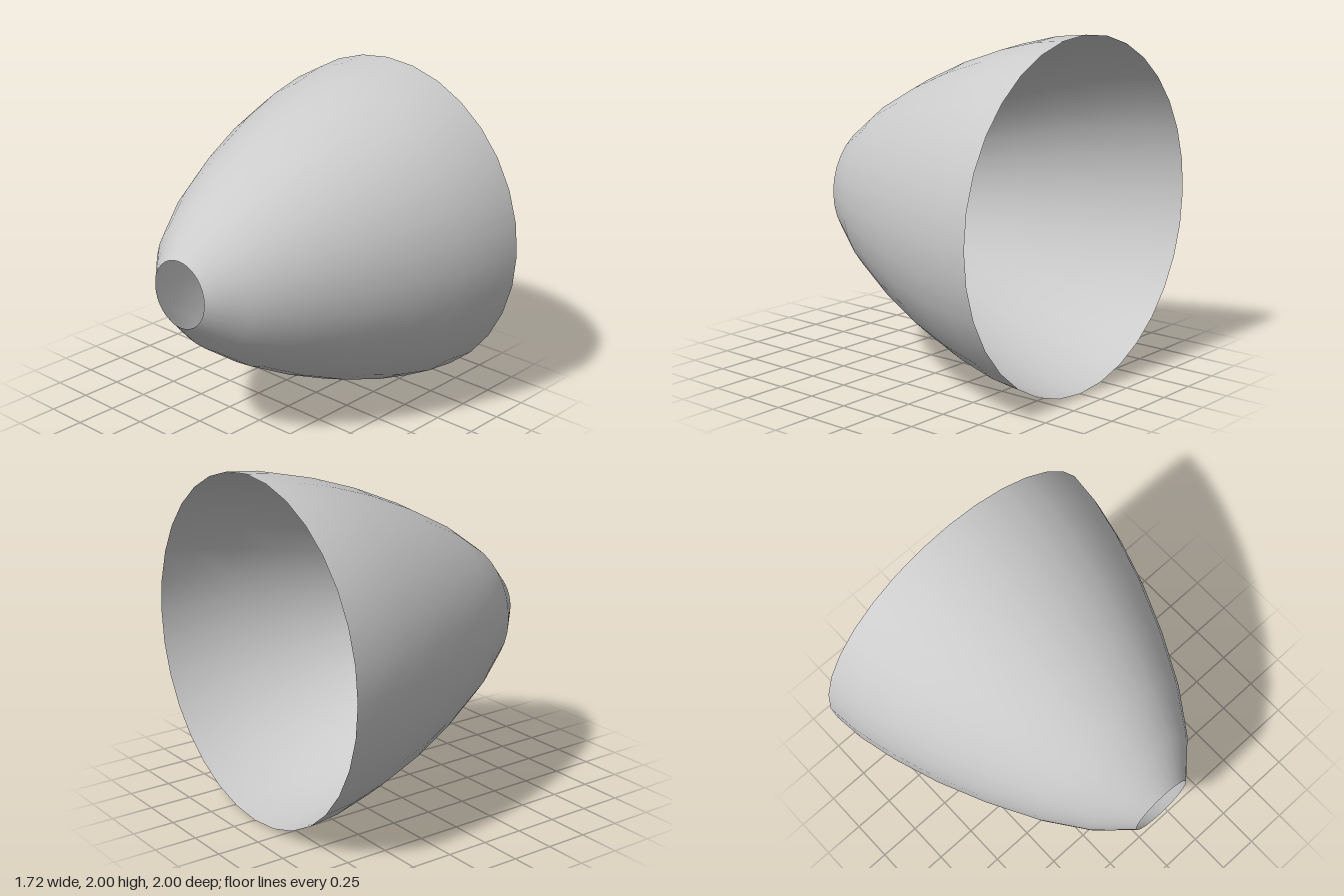
import * as THREE from 'three';

export function createModel() {
  const group = new THREE.Group();
  const material = new THREE.MeshStandardMaterial({ color: 0xcccccc, side: THREE.DoubleSide });

  // Ring stations along the axis; radii follow a quarter sine from the small hole to the wide mouth
  const stations = [-0.86, -0.68, -0.43, -0.14, 0.15, 0.43, 0.67, 0.86];
  const profile = stations.map((h, i) =>
    new THREE.Vector2(Math.sin((i + 1) * Math.PI / 16), h));

  // Thin open shell, turned so its wide mouth faces +x
  const geometry = new THREE.LatheGeometry(profile, 32);
  geometry.rotateZ(-Math.PI / 2);
  const shell = new THREE.Mesh(geometry, material);
  shell.name = 'openShell';
  shell.position.y = 1;
  group.add(shell);

  return group;
}
